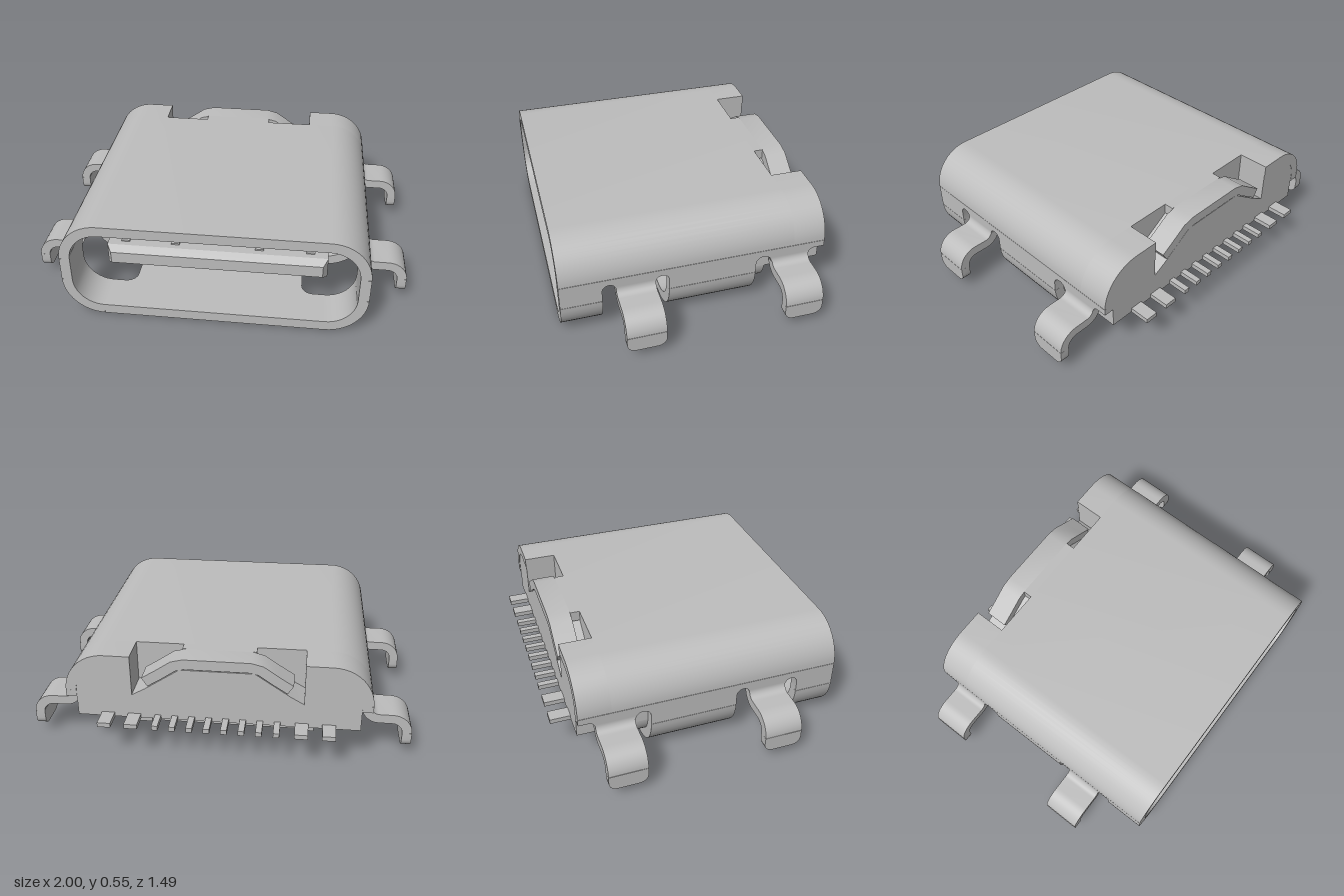
import * as THREE from 'three';
import { toCreasedNormals } from 'three/addons/utils/BufferGeometryUtils.js';

const W = 0.785, H = 0.55, R = 0.21, T = 0.055; // shell half width, height, corner radius, wall

export function createModel() {
  const model = new THREE.Group();
  const metal = new THREE.MeshStandardMaterial({ color: 0xbdbdbd });
  metal.name = 'grey metal';

  const add = (name, geometry) => {
    const mesh = new THREE.Mesh(toCreasedNormals(geometry, 0.5), metal);
    mesh.name = name;
    model.add(mesh);
    return mesh;
  };
  const box = (name, x0, x1, y0, y1, z0, z1) => {
    const g = new THREE.BoxGeometry(x1 - x0, y1 - y0, z1 - z0);
    add(name, g.translate((x0 + x1) / 2, (y0 + y1) / 2, (z0 + z1) / 2));
  };
  const toShape = pts => new THREE.Shape(pts.map(p => new THREE.Vector2(p[0], p[1])));
  const prism = (name, shape, z0, z1) => add(name,
    new THREE.ExtrudeGeometry(shape, { depth: z1 - z0, bevelEnabled: false, curveSegments: 10 }).translate(0, 0, z0));
  const arc = (cx, cy, r, a0, a1, n = 12) => Array.from({ length: n + 1 }, (_, i) => {
    const a = a0 + (a1 - a0) * i / n;
    return [cx + r * Math.cos(a), cy + r * Math.sin(a)];
  });
  const mirror = pts => pts.map(([x, y]) => [-x, y]);

  // Bent sheet: a centre line thickened by t and extruded along z
  const strip = (name, path, t, z0, z1) => {
    const left = [], right = [];
    path.forEach((p, i) => {
      const a = path[Math.max(i - 1, 0)], b = path[Math.min(i + 1, path.length - 1)];
      const l = Math.hypot(b[0] - a[0], b[1] - a[1]);
      const nx = -(b[1] - a[1]) / l * t / 2, ny = (b[0] - a[0]) / l * t / 2;
      left.push([p[0] + nx, p[1] + ny]);
      right.unshift([p[0] - nx, p[1] - ny]);
    });
    prism(name, toShape([...left, ...right]), z0, z1);
  };

  const PI = Math.PI, cx = W - R, rc = R - T / 2, topY = H - T / 2;
  const corner = arc(cx, H - R, rc, 0, PI / 2);
  const arch = [...corner, ...mirror(corner).reverse()];

  // Shell roof, with L-shaped slots at the rear
  strip('shellRoof', arch, T, -0.47, 0.74);
  for (const s of [1, -1]) {
    const side = [...corner, [0.44, topY]];
    strip('shellRearShoulder', s > 0 ? side : mirror(side), T, -0.64, -0.47);
  }
  box('flapNeck', -0.19, 0.19, H - T, H, -0.52, -0.47);
  strip('rearFlap', [[0.37, 0.41], [0.3, 0.455], [0.22, 0.51], [0.17, topY],
    [-0.17, topY], [-0.22, 0.51], [-0.3, 0.455], [-0.37, 0.41]], T, -0.64, -0.52);

  // Side walls with round-topped relief slots next to each leg (u = -z)
  const wall = new THREE.Shape();
  wall.moveTo(-0.74, 0.34);
  wall.lineTo(-0.74, 0.21);
  wall.lineTo(-0.53, 0.21);
  wall.lineTo(-0.53, 0.27);
  wall.absarc(-0.495, 0.27, 0.035, PI, 0, true);
  wall.lineTo(-0.26, 0.27);
  wall.absarc(-0.225, 0.27, 0.035, PI, 0, true);
  wall.lineTo(-0.19, 0.21);
  wall.lineTo(0.27, 0.21);
  wall.lineTo(0.27, 0.265);
  wall.absarc(0.31, 0.265, 0.04, PI, 0, true);
  wall.lineTo(0.555, 0.27);
  wall.absarc(0.59, 0.27, 0.035, PI, PI / 2, true);
  wall.lineTo(0.64, 0.305);
  wall.lineTo(0.64, 0.34);
  const plate = (name, shape, x0, t) => add(name,
    new THREE.ExtrudeGeometry(shape, { depth: t, bevelEnabled: false }).rotateY(PI / 2).translate(x0, 0, 0));
  plate('leftWall', wall, W - T, T);
  plate('rightWall', wall, -W, T);

  // Lower shell corners between the leg cut-outs
  const lower = arc(cx, R, rc, 0, -PI / 2);
  for (const [z0, z1] of [[0.53, 0.74], [-0.27, 0.19]]) {
    strip('lowerLeftCorner', lower, T, z0, z1);
    strip('lowerRightCorner', mirror(lower), T, z0, z1);
  }

  // Shell floor with rounded notches
  const n = 0.45, r = 0.06;
  const half = [
    [cx, 0.74], [cx, 0.53],
    ...arc(n + r, 0.53 - r, r, PI / 2, PI, 6), ...arc(n + r, 0.19 + r, r, PI, PI * 1.5, 6),
    [cx, 0.19], [cx, -0.27], ...arc(n + 0.08, -0.35, 0.08, PI / 2, PI, 6), [n, -0.36],
  ];
  add('shellFloor', new THREE.ExtrudeGeometry(toShape([...half, ...mirror(half).reverse()]),
    { depth: T, bevelEnabled: false }).rotateX(PI / 2).translate(0, T, 0));

  // Four bent mounting legs with rounded feet
  const legT = 0.05;
  const bend = [[0.76, 0.29], ...arc(0.825, 0.285, 0.065, PI, PI * 1.5, 8),
    ...arc(0.895, 0.14, 0.08, PI / 2, 0, 10)];
  for (const [z0, z1] of [[0.26, 0.46], [-0.555, -0.355]]) {
    const foot = toShape([[-z1, 0.14], ...arc(-z1 + 0.045, 0.1, 0.045, PI, PI * 1.5, 6),
      ...arc(-z0 - 0.045, 0.1, 0.045, -PI / 2, 0, 6), [-z0, 0.14]]);
    for (const s of [1, -1]) {
      strip('mountingLeg', s > 0 ? bend : mirror(bend), legT, z0, z1);
      plate('legFoot', foot, s > 0 ? 0.95 : -1, legT);
    }
  }

  // Insulator: solid behind the cavity, notched under the rear slots
  const inner = arc(cx, H - R, R - T, 0, PI / 2);
  const front = [[W - T, 0.195], ...inner];
  prism('insulatorBody', toShape([...front, ...mirror(front).reverse()]), -0.47, -0.22);
  const back = [...front, [0.44, H - T], [0.44, 0.33], [0.37, 0.37], [0.19, 0.49]];
  prism('insulatorRear', toShape([...back, ...mirror(back).reverse()]), -0.638, -0.47);
  const base = [[W - T, 0.2], ...arc(cx, R, R - T, 0, -PI / 2)];
  prism('insulatorBase', toShape([...base, ...mirror(base).reverse()]), -0.34, -0.22);
  for (const s of [1, -1]) {
    box('baseLug', s * 0.45 - 0.05, s * 0.45 + 0.05, 0.006, 0.2, -0.385, -0.33);
  }
  box('baseRib', -0.4, 0.4, 0.05, 0.2, -0.36, -0.33);

  // Tongue root and chamfered tongue
  const rr = 0.07;
  const rootHalf = [...arc(0.58 - rr, 0.175 + rr, rr, -PI / 2, 0, 6), ...arc(0.58 - rr, 0.385 - rr, rr, 0, PI / 2, 6)];
  prism('tongueRoot', toShape([...rootHalf, ...mirror(rootHalf).reverse()]), -0.23, 0.03);
  const tongue = toShape([[-0.55, 0.245], [0.55, 0.245], [0.55, 0.31], [-0.55, 0.31]]);
  add('tongue', new THREE.ExtrudeGeometry(tongue, {
    depth: 0.7, bevelEnabled: true, bevelThickness: 0.04, bevelSize: 0.025, bevelSegments: 1,
  }).translate(0, 0, -0.12));

  // Contact strips on both faces of the tongue
  for (let i = 0; i < 12; i++) {
    const x = (i - 5.5) * 0.088, end = [0, 3, 8, 11].includes(i) ? 0.55 : 0.48;
    box('topContact', x - 0.022, x + 0.022, 0.33, 0.343, 0.02, end);
    box('bottomContact', x - 0.022, x + 0.022, 0.212, 0.225, 0.02, end);
  }

  // Solder pins at the rear
  const pins = [[0.044, 0.032], [0.132, 0.032], [0.22, 0.032], [0.308, 0.032], [0.432, 0.068], [0.57, 0.068]];
  for (const [px, w] of pins) {
    for (const s of [1, -1]) {
      box('solderPin', s * px - w / 2, s * px + w / 2, 0.193, 0.218, -0.745, -0.58);
    }
  }
  return model;
}
